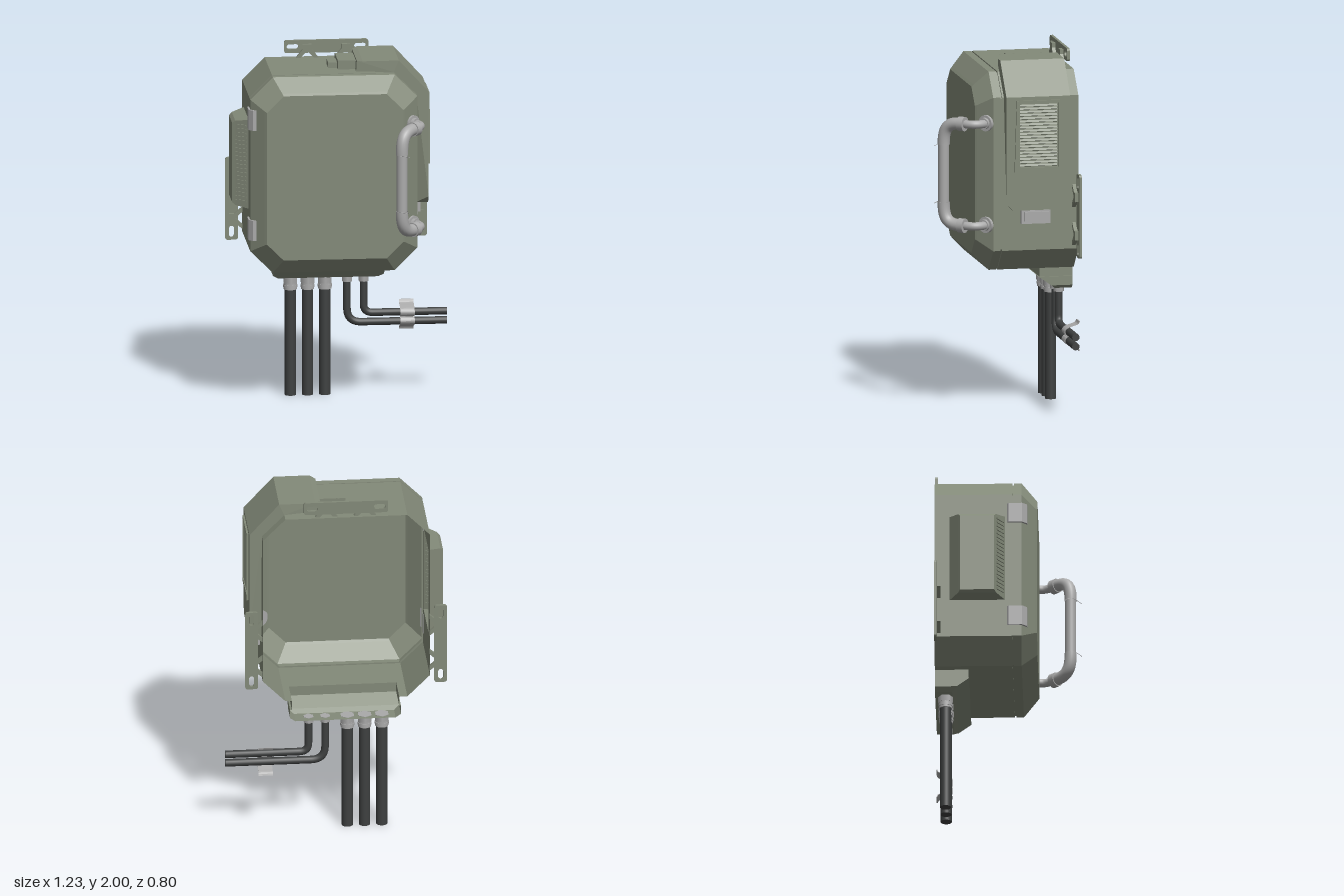
import * as THREE from 'three';

const V = (x, y, z) => new THREE.Vector3(x, y, z);
const green = new THREE.MeshStandardMaterial({ color: 0x838a79, side: THREE.DoubleSide });
green.name = 'greenPaint';
const grey = new THREE.MeshStandardMaterial({ color: 0xaaaaaa, side: THREE.DoubleSide });
grey.name = 'greyMetal';
const dark = new THREE.MeshStandardMaterial({ color: 0x3e4040 });
dark.name = 'darkRubber';

export function createModel() {
  const root = new THREE.Group();
  root.name = 'wallCabinet';

  const add = (name, geo, mat, parent = root) => {
    const m = new THREE.Mesh(geo, mat);
    m.name = name;
    parent.add(m);
    return m;
  };
  // Box given by its min and max corners
  const box = (name, a, b, mat) => {
    const m = add(name, new THREE.BoxGeometry(b[0] - a[0], b[1] - a[1], b[2] - a[2]), mat);
    m.position.set((a[0] + b[0]) / 2, (a[1] + b[1]) / 2, (a[2] + b[2]) / 2);
    return m;
  };
  // Cylinder between two points
  const rod = (name, a, b, r, mat, sides = 24) => {
    const m = add(name, new THREE.CylinderGeometry(r, r, a.distanceTo(b), sides), mat);
    m.position.copy(a).lerp(b, 0.5);
    m.quaternion.setFromUnitVectors(V(0, 1, 0), b.clone().sub(a).normalize());
    return m;
  };
  // Flat-faced skin over matching loops, with an optional end cap
  const loft = (loops, cap, skip = () => false) => {
    const pts = [];
    const n = loops[0].length;
    for (let k = 0; k < loops.length - 1; k++) {
      for (let i = 0; i < n; i++) {
        if (skip(i, k)) continue;
        const j = (i + 1) % n;
        const [a, b, c, d] = [loops[k][i], loops[k][j], loops[k + 1][j], loops[k + 1][i]];
        pts.push(a, b, c, a, c, d);
      }
    }
    const e = loops[loops.length - 1];
    if (cap) for (let i = 1; i < n - 1; i++) pts.push(e[0], e[i], e[i + 1]);
    const g = new THREE.BufferGeometry().setFromPoints(pts);
    g.computeVertexNormals();
    return g;
  };
  const shapeOf = (p) => new THREE.Shape(p.map(([x, y]) => new THREE.Vector2(x, y)));
  const extrude = (shape, depth) =>
    new THREE.ExtrudeGeometry(shape, { depth, bevelEnabled: false, curveSegments: 8 });

  // Cabinet shell, open at the back; the left and bottom walls are made apart
  const cx = -0.057, cy = 1.35;
  const octagon = (z, w, h, c) => [
    [w, -h + c], [w, h - c], [w - c, h], [-w + c, h], [-w, h - c], [-w, -h + c], [-w + c, -h], [w - c, -h],
  ].map(([x, y]) => V(cx + x, cy + y, z));
  const full = [0.463, 0.555, 0.125], groove = [0.455, 0.547, 0.123];
  add('cabinetShell', loft([
    octagon(-0.4, ...full), octagon(0.03, ...full), octagon(0.03, ...groove), octagon(0.038, ...groove),
    octagon(0.038, ...full), octagon(0.08, ...full), octagon(0.155, 0.39, 0.478, 0.098),
    octagon(0.166, 0.378, 0.466, 0.092),
  ], true, (i, k) => k === 0 && (i === 4 || i === 6)), green);

  // Side wall with an opening into the louvre hood (drawn in z, y)
  const wall = shapeOf([[-0.4, 0.92], [0.03, 0.92], [0.03, 1.78], [-0.4, 1.78]]);
  wall.holes.push(shapeOf([[-0.315, 1.14], [-0.315, 1.645], [-0.01, 1.645], [-0.01, 1.14]]));
  const wallMesh = add('sideWall', new THREE.ShapeGeometry(wall), green);
  wallMesh.rotation.y = -Math.PI / 2;
  wallMesh.position.x = -0.52;

  // Bottom wall with a notch above the cable box (drawn in x, z)
  const floor = shapeOf([[-0.395, -0.4], [-0.35, -0.4], [-0.35, -0.215], [0.245, -0.215],
    [0.245, -0.4], [0.281, -0.4], [0.281, 0.03], [-0.395, 0.03]]);
  const floorMesh = add('bottomWall', new THREE.ShapeGeometry(floor), green);
  floorMesh.rotation.x = Math.PI / 2;
  floorMesh.position.y = 0.795;

  // Cable entry box under the cabinet, open at top and back
  const tray = (y, x0, x1, zf) => [V(x0, y, -0.4), V(x0, y, zf), V(x1, y, zf), V(x1, y, -0.4)].reverse();
  add('cableBox', loft([
    tray(0.795, -0.35, 0.245, -0.215), tray(0.74, -0.35, 0.245, -0.215), tray(0.74, -0.36, 0.255, -0.21),
    tray(0.69, -0.36, 0.255, -0.28), tray(0.67, -0.33, 0.225, -0.305),
  ].map((l) => l.reverse()), true, (i) => i === 3), green);

  // Side compartment wrapped over the top corner, with clipped ends
  const compartment = extrude(shapeOf([[0.405, 1.155], [0.475, 1.155], [0.475, 1.195], [0.475, 1.79],
    [0.31, 1.97], [0.11, 1.97], [0.08, 1.965], [0.076, 1.905], [0.281, 1.905], [0.406, 1.78], [0.405, 1.195]]), 0.36);
  compartment.translate(0, 0, -0.18);
  const cp = compartment.attributes.position;
  for (let i = 0; i < cp.count; i++)
    if (cp.getY(i) < 1.16 || cp.getX(i) < 0.1) cp.setZ(i, cp.getZ(i) * 0.8);
  compartment.computeVertexNormals();
  add('sideCompartment', compartment, green).position.z = -0.16;

  // Vent on the compartment: frame and tilted slats (drawn in -z, y)
  const frame = shapeOf([[0.025, 1.37], [0.292, 1.37], [0.28, 1.77], [0.037, 1.77]]);
  frame.holes.push(shapeOf([[0.05, 1.395], [0.05, 1.755], [0.27, 1.755], [0.27, 1.395]]));
  const frameMesh = add('ventFrame', extrude(frame, 0.012), green);
  frameMesh.rotation.y = Math.PI / 2;
  frameMesh.position.x = 0.474;
  for (let i = 0; i < 20; i++) {
    const s = box('ventSlat', [0.475, 0, -0.265], [0.481, 0.011, -0.055], green);
    s.position.y = 1.408 + i * 0.0176;
    s.rotation.z = 0.4;
  }

  // Louvre hood on the other side
  const hood = (x, z0, z1, y0, y1) => [V(x, y0, z0), V(x, y0, z1), V(x, y1, z1), V(x, y1, z0)];
  add('louvreHood', loft([hood(-0.52, -0.315, -0.01, 1.14, 1.645), hood(-0.59, -0.268, -0.058, 1.152, 1.63),
    hood(-0.606, -0.257, -0.068, 1.165, 1.615)], true), green);
  for (let i = 0; i < 20; i++) {
    const s = box('louvreSlat', [0, 0, 0], [0.066, 0.011, 0.009], green);
    s.position.set(-0.56, 1.18 + i * 0.0225, -0.036);
    s.rotation.y = -0.6;
  }

  // Stepped housing on top and the socket below the compartment
  box('topHousing', [-0.02, 1.905, -0.255], [0.08, 1.955, -0.07], green);
  box('topHousingStep', [-0.07, 1.905, -0.215], [-0.02, 1.935, -0.11], green);
  box('sideSocket', [0.405, 1.085, -0.228], [0.44, 1.138, -0.09], grey);
  box('sideSocketFlange', [0.405, 1.07, -0.24], [0.425, 1.145, -0.075], grey);

  // Door hinges (drawn in x, -z)
  for (const y of [1.61, 0.985]) {
    const h = add('hinge', extrude(shapeOf([[-0.518, 0], [-0.53, -0.01], [-0.53, -0.085], [-0.507, -0.112],
      [-0.488, -0.113], [-0.518, -0.082]].reverse()), 0.115), grey);
    h.rotation.x = -Math.PI / 2;
    h.position.y = y;
  }

  // Slotted mounting brackets with splayed feet
  const pill = (s, x, w, h, r) => {
    s.moveTo(x - w + r, -h);
    s.lineTo(x + w - r, -h).absarc(x + w - r, -h + r, r, -Math.PI / 2, 0);
    s.lineTo(x + w, h - r).absarc(x + w - r, h - r, r, 0, Math.PI / 2);
    s.lineTo(x - w + r, h).absarc(x - w + r, h - r, r, Math.PI / 2, Math.PI);
    s.lineTo(x - w, -h + r).absarc(x - w + r, -h + r, r, Math.PI, Math.PI * 1.5);
    return s;
  };
  const bracket = (x, y, turn) => {
    const g = new THREE.Group();
    g.name = 'mountingBracket';
    g.position.set(x, y, -0.4);
    g.rotation.z = turn;
    root.add(g);
    const plate = pill(new THREE.Shape(), 0, 0.234, 0.036, 0.015);
    for (const s of [-1, 1]) plate.holes.push(pill(new THREE.Path(), s * 0.187, 0.032, 0.014, 0.0139));
    add('bracketPlate', extrude(plate, 0.015), green, g);
    for (const s of [-0.107, 0.107]) {
      const foot = add('bracketFoot', extrude(shapeOf([[-0.065, -0.063], [-0.04, -0.063], [0, -0.02], [0.04, -0.063],
        [0.065, -0.063], [0.025, -0.012], [0.025, 0.015], [-0.025, 0.015], [-0.025, -0.012]]), 0.02), green, g);
      foot.position.set(s, 0, 0.015);
    }
  };
  bracket(-0.055, 1.964, 0);
  bracket(0.468, 1.11, -Math.PI / 2);
  bracket(-0.58, 1.11, Math.PI / 2);

  // Door handle: two mirrored arms and an upright grip
  for (const s of [-1, 1]) {
    const P = (x, dy, z) => V(x, cy + s * dy, z);
    const arm = new THREE.CatmullRomCurve3([P(0.37, 0.285, 0.1), P(0.405, 0.285, 0.14), P(0.415, 0.285, 0.185),
      P(0.4, 0.285, 0.22), P(0.365, 0.285, 0.256)]);
    add('handleArm', new THREE.TubeGeometry(arm, 24, 0.023, 16), grey);
    rod('handleFlange', P(0.365, 0.285, 0.1), P(0.384, 0.285, 0.122), 0.045, grey);
    rod('handleBoss', P(0.384, 0.285, 0.122), P(0.397, 0.285, 0.135), 0.032, grey);
    rod('handleCollar', P(0.388, 0.285, 0.235), P(0.363, 0.285, 0.263), 0.04, grey);
    const elbow = new THREE.CubicBezierCurve3(P(0.365, 0.285, 0.26), P(0.312, 0.285, 0.32),
      P(0.297, 0.25, 0.337), P(0.297, 0.16, 0.337));
    add('handleElbow', new THREE.TubeGeometry(elbow, 20, 0.034, 20), grey);
    rod('handlePin', P(0.28, 0.16, 0.365), P(0.335, 0.16, 0.398), 0.0015, grey, 6);
  }
  rod('handleGrip', V(0.297, 1.19, 0.337), V(0.297, 1.51, 0.337), 0.03, grey);

  // Cables with glands: three straight drops and two turned to the side
  const zc = -0.343;
  const gland = (x, r) => {
    rod('glandNut', V(x, 0.635, zc), V(x, 0.672, zc), r * 1.35, grey, 6);
    rod('glandCap', V(x, 0.6, zc), V(x, 0.638, zc), r * 1.18, grey);
    rod('glandRing', V(x, 0.612, zc), V(x, 0.626, zc), r * 1.28, grey);
  };
  for (const x of [-0.258, -0.163, -0.067]) {
    gland(x, 0.031);
    rod('dropCable', V(x, 0, zc), V(x, 0.61, zc), 0.031, dark);
  }
  for (const [x, y, r] of [[0.056, 0.405, 0.08], [0.148, 0.457, 0.05]]) {
    rod('glandNut', V(x, 0.638, zc), V(x, 0.672, zc), 0.03, grey, 6);
    const path = new THREE.CurvePath();
    path.add(new THREE.LineCurve3(V(x, 0.66, zc), V(x, y + r, zc)));
    path.add(new THREE.QuadraticBezierCurve3(V(x, y + r, zc), V(x, y, zc), V(x + r, y, zc)));
    path.add(new THREE.LineCurve3(V(x + r, y, zc), V(0.61, y, zc)));
    add('sideCable', new THREE.TubeGeometry(path, 64, 0.021, 16), dark);
    const end = add('sideCableEnd', new THREE.CircleGeometry(0.021, 16), dark);
    end.rotation.y = Math.PI / 2;
    end.position.set(0.61, y, zc);
  }

  // Cable clamp: a thin strap over both side cables (points in z, y)
  const half = [[-0.4, 0.515], [-0.392, 0.5], [-0.36, 0.488], [-0.33, 0.476], [-0.317, 0.457], [-0.325, 0.438]];
  const strap = [...half, [-0.335, 0.431], ...half.map(([z, y]) => [z, 0.862 - y]).reverse()];
  const strapCurve = new THREE.CatmullRomCurve3(strap.map(([z, y]) => V(0, y, z))).getPoints(48);
  const thick = strapCurve.map((p) => V(0, p.y, p.z - 0.005)).reverse();
  const clampGeo = extrude(shapeOf([...strapCurve, ...thick].map((p) => [-p.z, p.y])), 0.08);
  const clamp = add('cableClamp', clampGeo, grey);
  clamp.rotation.y = Math.PI / 2;
  clamp.position.x = 0.35;

  return root;
}
